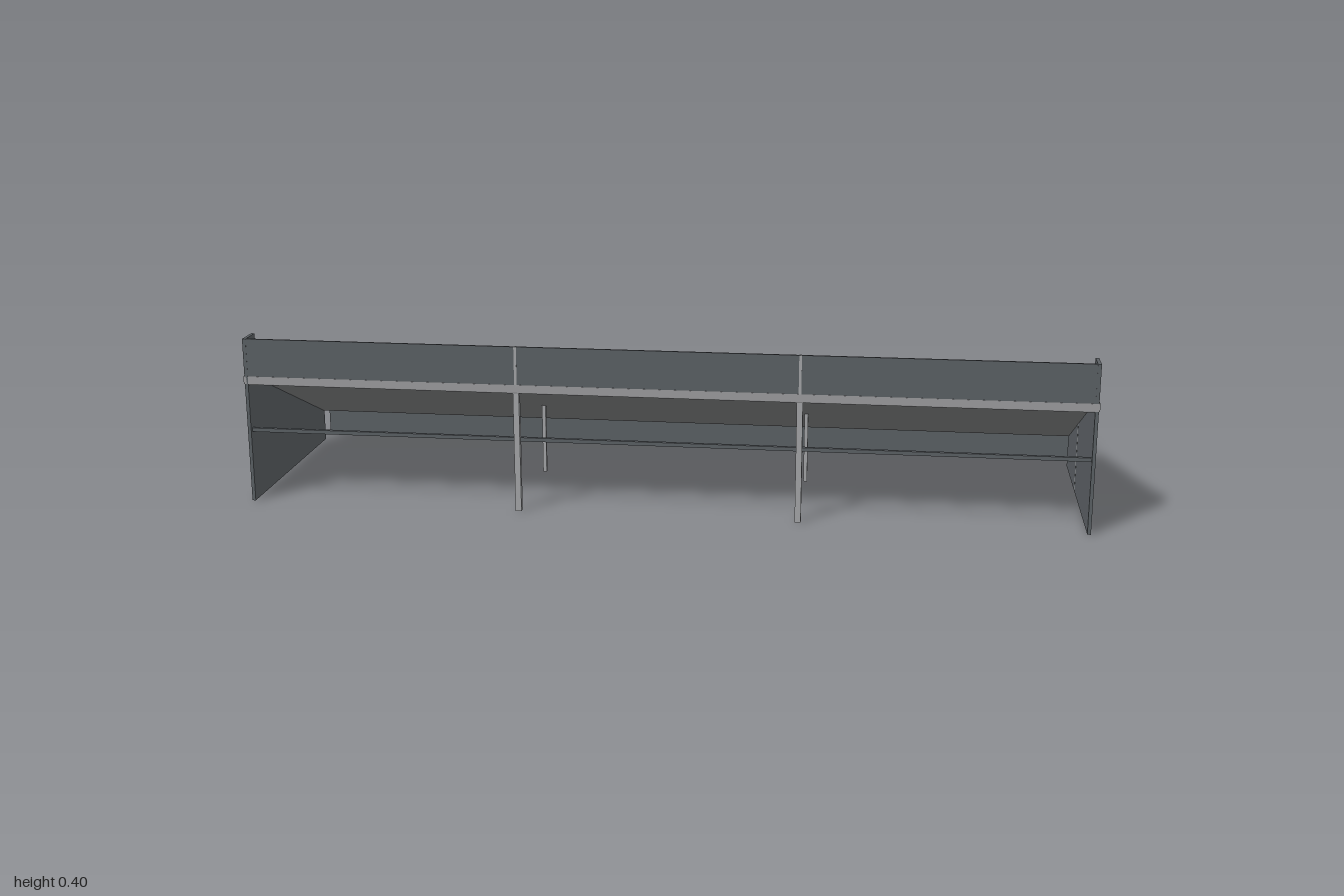
import * as THREE from 'three';

const L = 0.98;   // half length
const D = 0.297;  // half depth
const Z0 = -0.225, Z1 = 0.237;   // ends of the sloped deck
const Y0 = 0.1, Y1 = 0.305;      // deck top, low and high
const T = 0.018;                 // deck thickness

export function createModel() {
  const mat = (name, color) => {
    const m = new THREE.MeshStandardMaterial({ color });
    m.name = name;
    return m;
  };
  const concrete = mat('concrete', 0x9b9c9e);
  const cladding = mat('cladding', 0x5b6064);
  const soffitGrey = mat('soffit grey', 0x808182);
  const steel = mat('steel', 0xa4a6a8);
  const seatBlue = mat('seat blue', 0x2b59b2);

  const model = new THREE.Group();
  model.name = 'grandstand';
  const stand = new THREE.Group();
  stand.name = 'stand';
  stand.rotation.y = Math.PI / 6;
  model.add(stand);

  const add = (name, geometry, material, x = 0, y = 0, z = 0) => {
    const mesh = new THREE.Mesh(geometry, material);
    mesh.name = name;
    mesh.position.set(x, y, z);
    stand.add(mesh);
    return mesh;
  };
  // Extrude a (z, y) profile along x, centred on x = 0
  const extrudeX = (profile, width) => {
    const shape = new THREE.Shape(profile.map(([z, y]) => new THREE.Vector2(-z, y)));
    const g = new THREE.ExtrudeGeometry(shape, { depth: width, bevelEnabled: false });
    return g.translate(0, 0, -width / 2).rotateY(Math.PI / 2);
  };

  // Sloped deck with a walkway at each edge
  const deckTop = [[-D, Y0], [Z0, Y0], [Z1, Y1], [D, Y1]];
  const lowered = (d) => deckTop.map(([z, y]) => [z, y - d]);
  add('deck', extrudeX([...deckTop, ...lowered(T).reverse()], 2 * L + 0.005), concrete);

  // Soffit skin under the deck
  add('soffit', extrudeX([...lowered(T), ...lowered(T + 0.002).reverse()], 2 * L - 0.01), soffitGrey);

  // End walls, stopping short of the lower walkway
  const wall = [
    [-0.23, 0], [D, 0], [D, 0.395], [Z1, 0.395], [Z1, 0.38], [-0.23, 0.173],
  ];
  for (const s of [-1, 1]) {
    add(s > 0 ? 'leftEndWall' : 'rightEndWall', extrudeX(wall, 0.008), cladding, s * (L - 0.004));
  }

  // Low pitch-side panel and high parapet
  add('pitchSidePanel', new THREE.BoxGeometry(2 * L, 0.173, 0.005), cladding, 0, 0.0865, -D);
  add('parapet', new THREE.BoxGeometry(2 * L, 0.097, 0.005), cladding, 0, 0.3465, D - 0.003);

  // Free-standing posts under the deck, with slim ends running up the parapet
  for (const x of [-0.333, 0.32]) {
    add('outerPost', new THREE.BoxGeometry(0.014, 0.29, 0.014), steel, x, 0.145, D - 0.008);
    add('innerPost', new THREE.BoxGeometry(0.009, 0.178, 0.009), steel, x, 0.089, -0.022);
    add('parapetPost', new THREE.BoxGeometry(0.006, 0.096, 0.008), steel, x, 0.347, D - 0.004);
  }
  // Post set into the left end wall
  add('wallPost', new THREE.BoxGeometry(0.0086, 0.178, 0.006), steel, L - 0.004, 0.089, -0.022);
  add('tieBar', new THREE.BoxGeometry(2 * L - 0.01, 0.009, 0.009), cladding, 0, 0.173, D - 0.012);

  // Seven seat rows in three blocks
  const seat = new THREE.BoxGeometry(0.606, 0.03, 0.036);
  for (let row = 0; row < 7; row++) {
    const z = -0.184 + row * 0.0655;
    const y = Y0 + (z - Z0) / (Z1 - Z0) * (Y1 - Y0) + 0.008;
    for (let b = -1; b <= 1; b++) add('seatRow', seat, seatBlue, b * 0.652 + 0.002, y, z);
  }
  return model;
}
